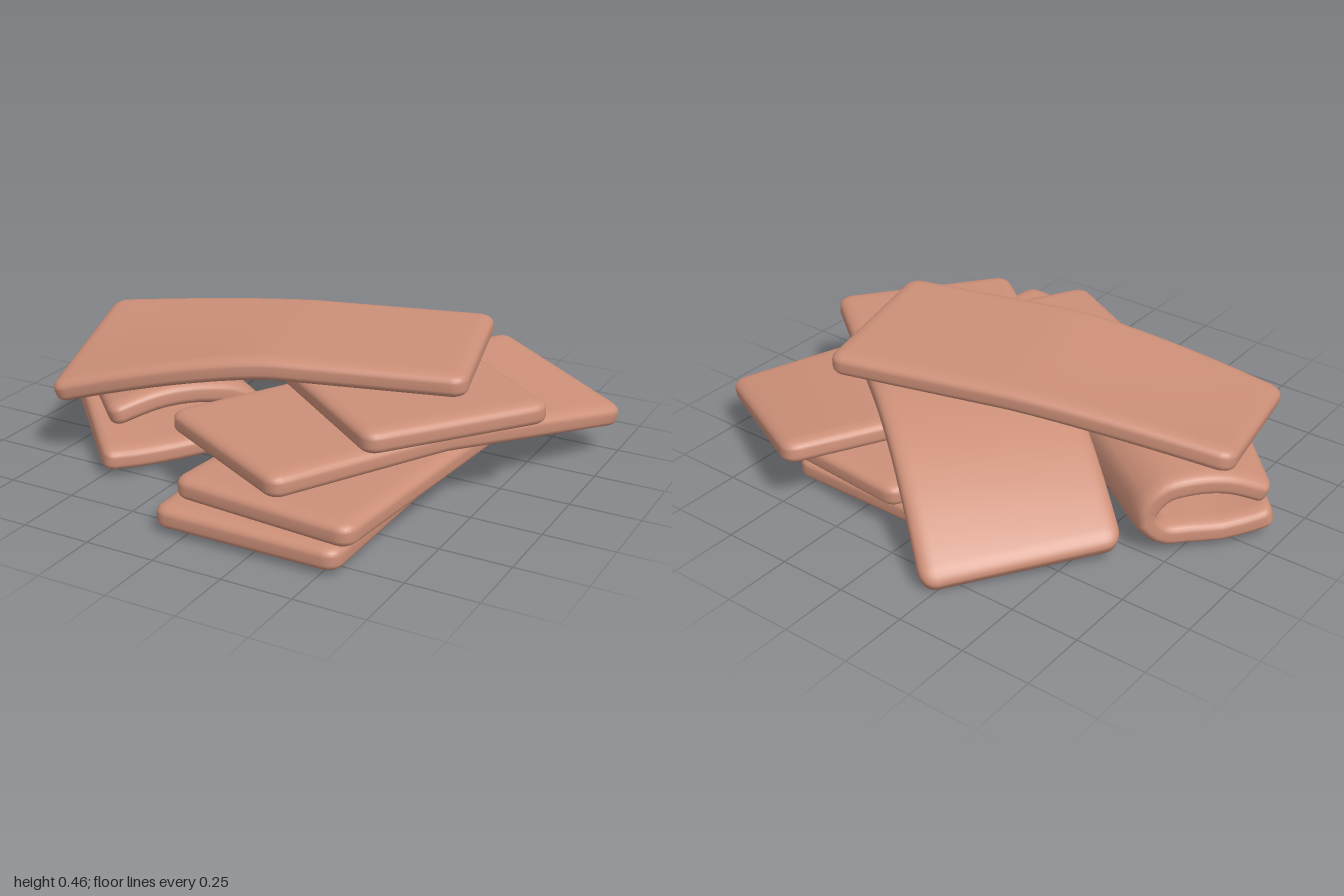
import * as THREE from 'three';
import { mergeVertices } from 'three/addons/utils/BufferGeometryUtils.js';

const LENGTH = 1.46, WIDTH = 0.675, THICK = 0.086;
const SEG = [40, 7, 20], EDGE = 3;              // segments per axis, segments in each rounded edge
const SIZE = [LENGTH, THICK, WIDTH], RAD = [0.055, 0.03, 0.055];

// Rounded slab whose middle sheet follows surface(u, v); u runs along, v across
function bentSlab(name, surface, material) {
  const box = new THREE.BoxGeometry(1, 1, 1, ...SEG);
  box.deleteAttribute('uv');
  box.deleteAttribute('normal');
  const geo = mergeVertices(box, 1e-5);
  const pos = geo.attributes.position;
  const e = 0.004;
  for (let i = 0; i < pos.count; i++) {
    // inner core and outward offset give the rounded box
    const core = [], dir = [];
    for (let k = 0; k < 3; k++) {
      const n = SEG[k], half = SIZE[k] / 2, r = RAD[k];
      const idx = Math.round((pos.getComponent(i, k) + 0.5) * n);
      let p;
      if (idx <= EDGE) p = -half + r * idx / EDGE;
      else if (idx >= n - EDGE) p = half - r * (n - idx) / EDGE;
      else p = -half + r + (SIZE[k] - 2 * r) * (idx - EDGE) / (n - 2 * EDGE);
      core[k] = THREE.MathUtils.clamp(p, -half + r, half - r);
      dir[k] = (p - core[k]) / r;
    }
    const len = Math.hypot(...dir) || 1;
    const [x, y, z] = core.map((c, k) => c + dir[k] / len * RAD[k]);
    // carry the point onto the bent sheet, offset along its normal
    const u = x / LENGTH + 0.5, v = z / WIDTH + 0.5;
    const du = surface(u + e, v).sub(surface(u - e, v));
    const dv = surface(u, v + e).sub(surface(u, v - e));
    const p = surface(u, v).addScaledVector(dv.cross(du).normalize(), y);
    pos.setXYZ(i, p.x, p.y, p.z);
  }
  geo.computeVertexNormals();
  const mesh = new THREE.Mesh(geo, material);
  mesh.name = name;
  return mesh;
}

// Level sheet centred at (cx, y, cz), pointing along (lx, lz), sagging by drop(u, v)
function sheet(cx, y, cz, lx, lz, drop = () => 0) {
  const n = Math.hypot(lx, lz);
  lx /= n; lz /= n;
  return (u, v) => {
    const a = (u - 0.5) * LENGTH, b = (v - 0.5) * WIDTH;
    return new THREE.Vector3(cx + lx * a - lz * b, y - drop(u, v), cz + lz * a + lx * b);
  };
}

const ramp = (u, start) => Math.max(0, (u - start) / (1 - start));

// Sheet doubled over on itself: profile of (distance from fold, height)
function foldedSheet() {
  const profile = new THREE.CatmullRomCurve3([
    [0.97, 0.105], [0.75, 0.095], [0.4, 0.1], [0.18, 0.115], [0.08, 0.185],
    [0.18, 0.26], [0.36, 0.29], [0.62, 0.29], [0.92, 0.24],
  ].map(([s, y]) => new THREE.Vector3(s, y, 0)));
  const mix = THREE.MathUtils.lerp;
  return (u, v) => {
    const t = THREE.MathUtils.clamp(u, 0, 1);
    const p = profile.getPointAt(t);
    p.addScaledVector(profile.getTangentAt(t), u - t);
    const s = p.x;
    // the far corners of both layers are twisted slightly
    const lift = u < 0.5
      ? 0.03 * ramp(s, 0.6) * (1 - v)
      : 0.05 * ramp(s, 0.2) * (v - 0.5);
    return new THREE.Vector3(
      mix(-0.66, -0.09, v) + s * mix(-0.33, -0.39, v),
      p.y + lift,
      mix(-0.29, 0.09, v) + s * mix(0.37, 0.53, v));
  };
}

export function createModel() {
  const group = new THREE.Group();
  group.name = 'slabPile';
  const material = new THREE.MeshStandardMaterial({ color: 0xcc8f78 });
  const parts = {
    bottomSlab: sheet(0.225, 0.093, 0.112, 0, -1),
    secondSlab: sheet(0.325, 0.18, 0.08, 0.083, -1),
    // one rear corner sags
    thirdSlab: sheet(0.375, 0.27, 0.01, 0.48, -0.88, (u, v) => 0.085 * v * ramp(u, 0.47)),
    // rear end hangs down to the ground
    hangingSlab: sheet(0.145, 0.362, -0.155, -0.79, -0.61,
      (u, v) => (0.265 + 0.045 * v) * ramp(u, 0.5) ** 1.9),
    // end droops, more at the front corner
    topSlab: sheet(-0.105, 0.453, 0.037, -0.967, 0.253,
      (u, v) => (0.17 - 0.11 * v) * ramp(u, 0.45) ** 1.4),
    foldedSlab: foldedSheet(),
  };
  for (const [name, surface] of Object.entries(parts)) group.add(bentSlab(name, surface, material));
  return group;
}
